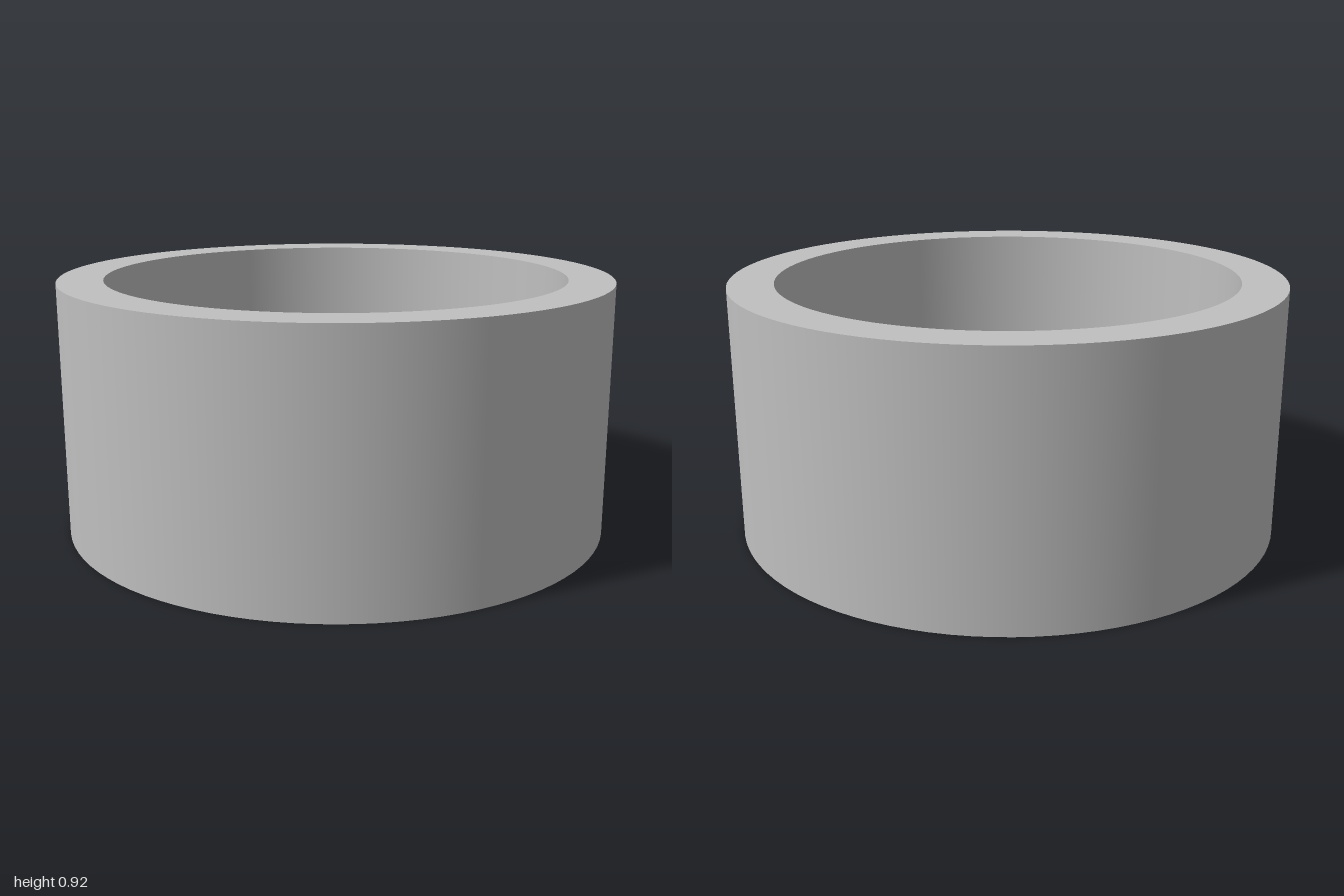
import * as THREE from 'three';

const R = 1, RI = 0.837, H = 0.915, FLOOR = 0.21, HOLE = 0.956, SEG = 96;

export function createModel() {
  const group = new THREE.Group();
  const grey = new THREE.MeshStandardMaterial({ color: 0xc0c0c0 });
  grey.name = 'grey';

  const add = (name, geometry) => {
    const mesh = new THREE.Mesh(geometry, grey);
    mesh.name = name;
    group.add(mesh);
    return mesh;
  };

  // Turned surfaces, one per profile segment so the rims stay sharp
  const turned = (name, a, b) =>
    add(name, new THREE.LatheGeometry([new THREE.Vector2(...a), new THREE.Vector2(...b)], SEG));
  turned('outerWall', [R, 0], [R, H]);
  turned('rim', [R, H], [RI, H]);
  turned('innerWall', [RI, H], [RI, FLOOR]);

  // Round disc with the square opening cut out
  const disc = (radius) => {
    const shape = new THREE.Shape().absarc(0, 0, radius, 0, Math.PI * 2);
    const s = HOLE / 2;
    shape.holes.push(new THREE.Path().moveTo(-s, -s).lineTo(-s, s).lineTo(s, s).lineTo(s, -s).lineTo(-s, -s));
    return new THREE.ShapeGeometry(shape, SEG);
  };
  add('floor', disc(RI).rotateX(-Math.PI / 2).translate(0, FLOOR, 0));
  add('underside', disc(R).rotateX(Math.PI / 2));

  // Four sides of the square opening, facing inwards
  for (let i = 0; i < 4; i++) {
    add('openingSide', new THREE.PlaneGeometry(HOLE, FLOOR)
      .translate(0, FLOOR / 2, -HOLE / 2)
      .rotateY(i * Math.PI / 2));
  }
  return group;
}
